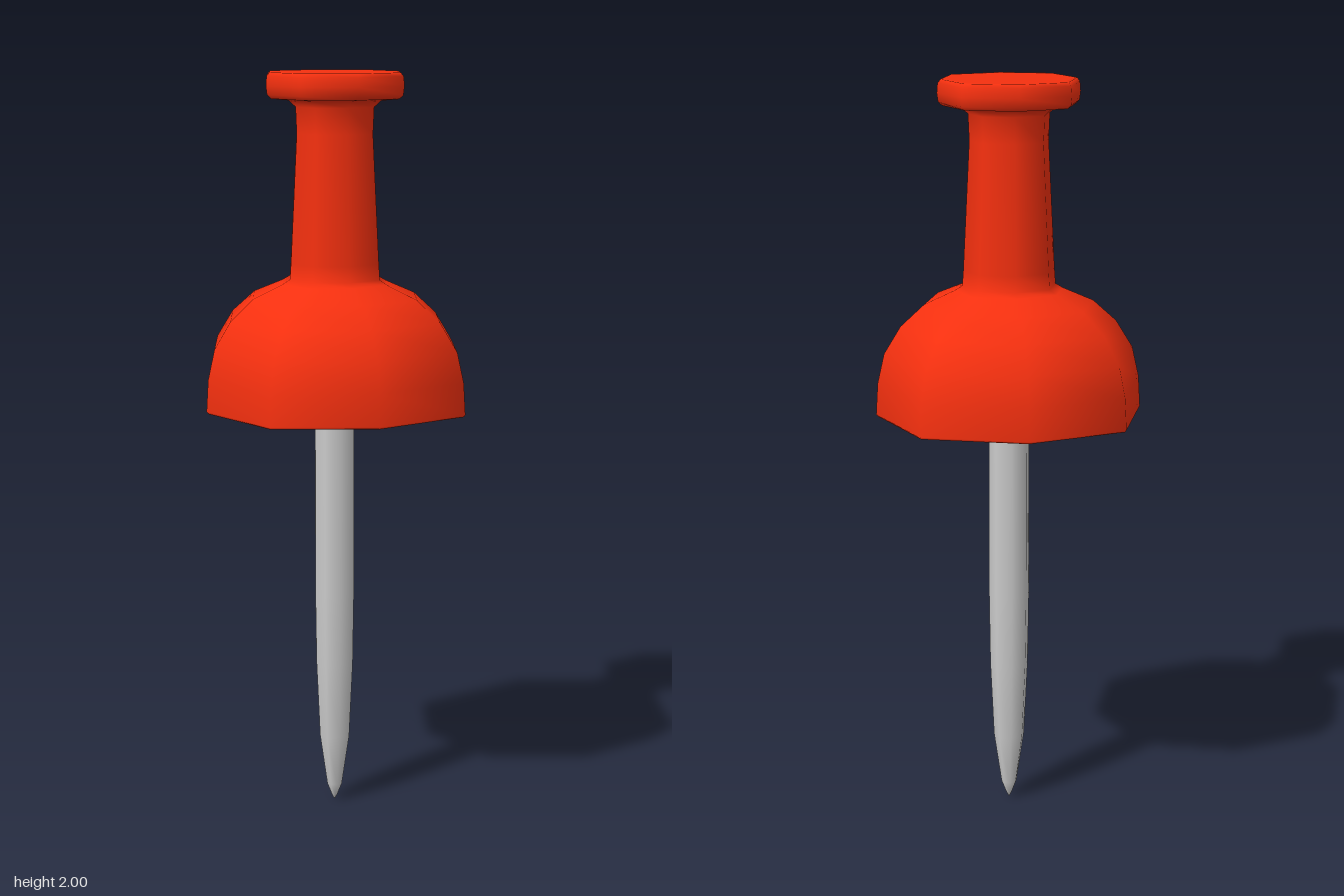
import * as THREE from 'three';

const SIDES = 8;

// Smooth eight-sided turned part, profile [radius, y] from bottom to top.
// The diagonal corners stand slightly further out than the axis ones.
function turned(name, profile, material) {
  const geometry = new THREE.LatheGeometry(profile.map(([r, y]) => new THREE.Vector2(r, y)), SIDES);
  const pos = geometry.attributes.position;
  for (let i = 0; i < pos.count; i++) {
    const k = Math.floor(i / profile.length) % 2 ? 1.063 : 1;
    pos.setXYZ(i, pos.getX(i) * k, pos.getY(i), pos.getZ(i) * k);
  }
  const mesh = new THREE.Mesh(geometry, material);
  mesh.name = name;
  return mesh;
}

export function createModel() {
  const red = new THREE.MeshStandardMaterial({ color: 0xf5300f });
  const steel = new THREE.MeshStandardMaterial({ color: 0xcccccc });
  const pin = new THREE.Group();
  pin.name = 'pushPin';

  // Handle: flat underside, dome, tapered grip and flared top cap
  pin.add(turned('handle', [
    [0, 1.11], [0.3, 1.11], [0.353, 1.11], [0.358, 1.116],
    [0.353, 1.2], [0.335, 1.28], [0.29, 1.353], [0.227, 1.41], [0.145, 1.446],
    [0.125, 1.458], [0.122, 1.5], [0.105, 1.84], [0.108, 1.91], [0.127, 1.927],
    [0.175, 1.932], [0.186, 1.942], [0.189, 1.965], [0.187, 1.99],
    [0.179, 2], [0.165, 2], [0, 2],
  ], red));

  // Needle: straight shaft with a rounded taper to the point
  pin.add(turned('needle', [
    [0, 0], [0.008, 0.015], [0.021, 0.048], [0.042, 0.19], [0.052, 0.4],
    [0.055, 0.6], [0.055, 1.13],
  ], steel));

  return pin;
}
